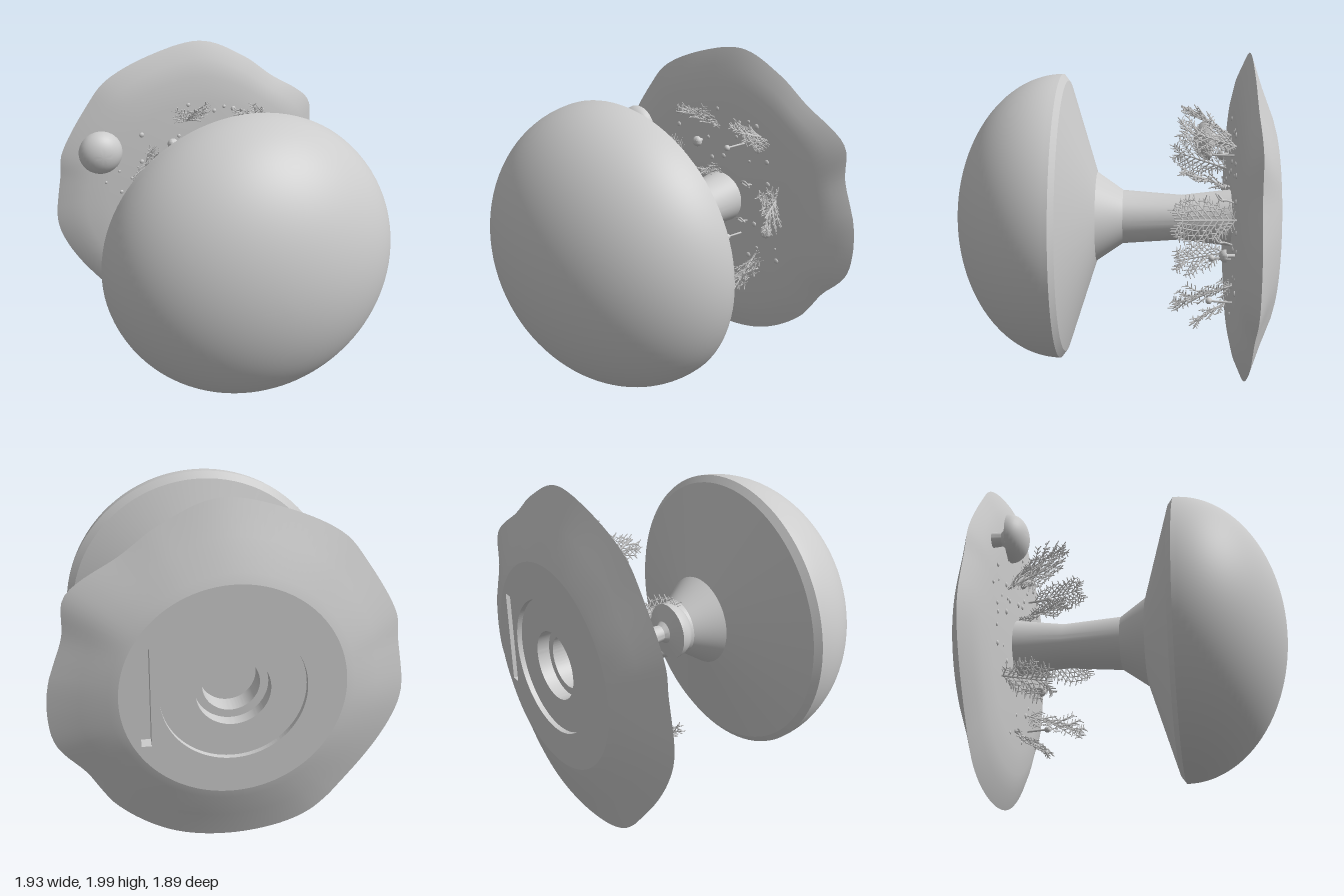
import * as THREE from 'three';
import { mergeGeometries, toCreasedNormals } from 'three/addons/utils/BufferGeometryUtils.js';

const V = (x, y, z) => new THREE.Vector3(x, y, z);
const CY = 0.995; // height of the main axis, which runs along z
const BACK = -0.945;
const FRONT = -0.715;

function seeded(seed) {
  let s = seed;
  return () => (s = (s * 16807) % 2147483647) / 2147483647;
}

// Revolve [radius, z] points around the z axis
function latheZ(points, segments = 96) {
  const g = new THREE.LatheGeometry(points.map(([r, z]) => new THREE.Vector2(r, z)), segments);
  return g.rotateX(Math.PI / 2);
}

// Quarter ellipse from rim to apex
function dome(r, z0, z1, n) {
  return Array.from({ length: n + 1 }, (_, i) => {
    const a = (i / n) * Math.PI / 2;
    return [i === n ? 0 : r * Math.cos(a), z0 + (z1 - z0) * Math.sin(a)];
  });
}

// Thin tapered rod between two points
function rod(a, b, r0, r1 = r0, sides = 5) {
  const d = b.clone().sub(a);
  const g = new THREE.CylinderGeometry(r1, r0, d.length(), sides);
  g.applyQuaternion(new THREE.Quaternion().setFromUnitVectors(V(0, 1, 0), d.normalize()));
  return g.translate((a.x + b.x) / 2, (a.y + b.y) / 2, (a.z + b.z) / 2);
}

// Scalloped rim: [angle in degrees, radius]
const RIM = [[-172, .97], [-159, .96], [-138, .95], [-117, 1.005], [-95, .995], [-72, .99], [-50, .965],
  [-33, .93], [-18, .99], [0, .96], [20, .92], [32, .99], [53, .915], [68, .945], [86, 1.0],
  [105, .975], [126, .98], [138, .955], [160, .955], [168, .935]];
const rimCurve = new THREE.CatmullRomCurve3(RIM.map(([deg, r]) => {
  const a = THREE.MathUtils.degToRad(deg);
  return V(r * Math.cos(a), r * Math.sin(a), 0);
}), true);
const rimPoints = rimCurve.getPoints(720).map(p => [Math.atan2(p.y, p.x), p.length()]);
function rimRadius(angle) {
  let best = rimPoints[0], gap = 9;
  for (const p of rimPoints) {
    const d = Math.abs(Math.atan2(Math.sin(p[0] - angle), Math.cos(p[0] - angle)));
    if (d < gap) { gap = d; best = p; }
  }
  return best[1];
}

// Plate with stepped rear hole, the scallops fading towards the centre
function plateGeometry() {
  const g = latheZ([[0, -.72], [.155, -.72], [.155, -.84], [.2, -.84], [.2, -.915], [.39, -.915], [.39, -.87],
    [.6, -.87], [.6, BACK], [.65, -.93], [.8, -.865], [.965, -.8], [.87, -.755], [.77, -.73], [.62, FRONT], [0, FRONT]], 144);
  const p = g.attributes.position;
  for (let i = 0; i < p.count; i++) {
    const x = p.getX(i), y = p.getY(i), r = Math.hypot(x, y);
    if (r < 0.63) continue;
    const f = THREE.MathUtils.lerp(1, rimRadius(Math.atan2(y, x)) / .965, (r - .6) / .365);
    p.setXY(i, x * f, y * f);
  }
  return toCreasedNormals(g, 0.35);
}

// Flat rear ring with a round opening and a hanging slot
function rearRingGeometry() {
  const shape = new THREE.Shape().absarc(0, 0, .6, 0, Math.PI * 2);
  shape.holes.push(new THREE.Path().absarc(0, 0, .39, 0, Math.PI * 2, true));
  const slot = [[-.435, -.28], [-.435, .28], [-.49, .28], [-.49, -.28]];
  shape.holes.push(new THREE.Path(slot.map(([x, y]) => new THREE.Vector2(x, y))));
  const g = new THREE.ExtrudeGeometry(shape, { depth: .074, bevelEnabled: false, curveSegments: 72 });
  return g.rotateY(Math.PI).translate(0, 0, BACK + .074);
}

// Needled frond growing along y, spread along x
function sprigGeometry(size, rand) {
  const parts = [];
  const L = .38 * size;
  parts.push(rod(V(0, 0, 0), V(0, L, 0), .007, .004));
  const rows = 10;
  for (let i = 0; i < rows; i++) {
    const t = (i + .6) / rows;
    for (const s of [-1, 1]) {
      const len = size * (.04 + .12 * Math.sin(Math.PI * (.12 + .8 * t)));
      const a = V(0, L * t * .9, 0);
      const dir = V(s * .75, .65, (rand() - .5) * .7).normalize();
      parts.push(rod(a, a.clone().addScaledVector(dir, len), .005, .003, 4));
      for (let k = 1; k <= 4; k++) {
        const q = a.clone().addScaledVector(dir, len * k / 4.5);
        for (const w of [-1, 1]) {
          const side = V(-dir.y * w, dir.x * w, (rand() - .5) * 1.4).addScaledVector(dir, .9).normalize();
          parts.push(rod(q, q.clone().addScaledVector(side, .036 * size), .004, .003, 4));
        }
      }
    }
  }
  return mergeGeometries(parts);
}

// Small mushroom standing on the plate
function mushroomGeometry(r, stem, capBase, tip) {
  const pts = [[stem, FRONT - .01], [stem * .9, capBase - r * .35], [stem * 1.25, capBase - r * .2], [r, capBase - .005]];
  return toCreasedNormals(latheZ([...pts, ...dome(r, capBase, tip, 10)], 32), 0.5);
}

export function createModel() {
  const model = new THREE.Group();
  const grey = new THREE.MeshStandardMaterial({ color: 0xcccccc });
  const add = (name, geometry, x = 0, y = CY, z = 0) => {
    const mesh = new THREE.Mesh(geometry, grey);
    mesh.name = name;
    mesh.position.set(x, y, z);
    model.add(mesh);
    return mesh;
  };
  const rand = seeded(4711);

  // Domed cap with its stem
  add('capAndStem', toCreasedNormals(latheZ([[.175, -.73], [.165, -.64], [.138, -.42], [.165, -.06], [.275, .1],
    [.83, .275], ...dome(.87, .305, .945, 32)]), 0.25), -.005);

  // Wall plate
  add('plate', plateGeometry());
  add('rearRing', rearRingGeometry());

  // Fronds leaning outward from the plate: x, y, size, lean
  const sprigs = [[-.08, .58, .9, .55], [.34, .56, .95, .4], [.52, .11, 1.05, .42], [.36, -.4, 1, .35],
    [-.4, .3, 1, .42], [-.4, -.38, .95, .4], [.02, -.62, .72, .6], [-.06, .27, .85, .3]];
  for (const [x, y, size, lean] of sprigs) {
    const out = V(x, y, 0).normalize();
    const up = out.clone().multiplyScalar(Math.sin(lean)).add(V(0, 0, Math.cos(lean)));
    const side = V(-out.y, out.x, 0);
    const sprig = add('sprig', sprigGeometry(size, rand), x - out.x * .09, CY + y - out.y * .09, FRONT - .01);
    sprig.quaternion.setFromRotationMatrix(new THREE.Matrix4().makeBasis(side, up, side.clone().cross(up)));
  }

  // Mushrooms: x, y, cap radius, stem radius, cap base z, tip z
  const mushrooms = [[-.67, 1.38, .14, .045, -.62, -.515], [-.18, 1.36, .035, .012, -.67, -.64], [.41, .87, .038, .012, -.66, -.625]];
  for (const [x, y, ...dims] of mushrooms) add('smallMushroom', mushroomGeometry(...dims), x, y);

  // Stalks with round heads: x, y, head z
  for (const [x, y, z] of [[.14, 1.41, -.57], [.15, .78, -.6], [.3, .56, -.58]]) {
    const stalk = rod(V(.03, 0, FRONT - .01), V(0, 0, z), .007, .006, 8);
    const head = new THREE.SphereGeometry(.02, 16, 10).translate(0, 0, z);
    add('stalk', mergeGeometries([stalk, head]), x, y);
  }

  // Curled sprouts
  for (const [x, y] of [[.24, 1.14], [.22, .88]]) {
    const path = new THREE.CatmullRomCurve3([V(0, 0, FRONT - .01), V(.01, .02, -.67), V(.04, .03, -.63),
      V(.02, .06, -.61), V(-.02, .04, -.63), V(0, .01, -.66)]);
    add('sprout', new THREE.TubeGeometry(path, 24, .006, 6), x, y);
  }

  // Scattered pebbles
  for (let i = 0; i < 40; i++) {
    const a = rand() * Math.PI * 2, r = .25 + rand() * .4;
    const g = new THREE.SphereGeometry(.008 + rand() * .01, 8, 6).scale(1, 1, .6);
    add('pebble', g, r * Math.cos(a), CY + r * Math.sin(a), FRONT);
  }
  return model;
}
